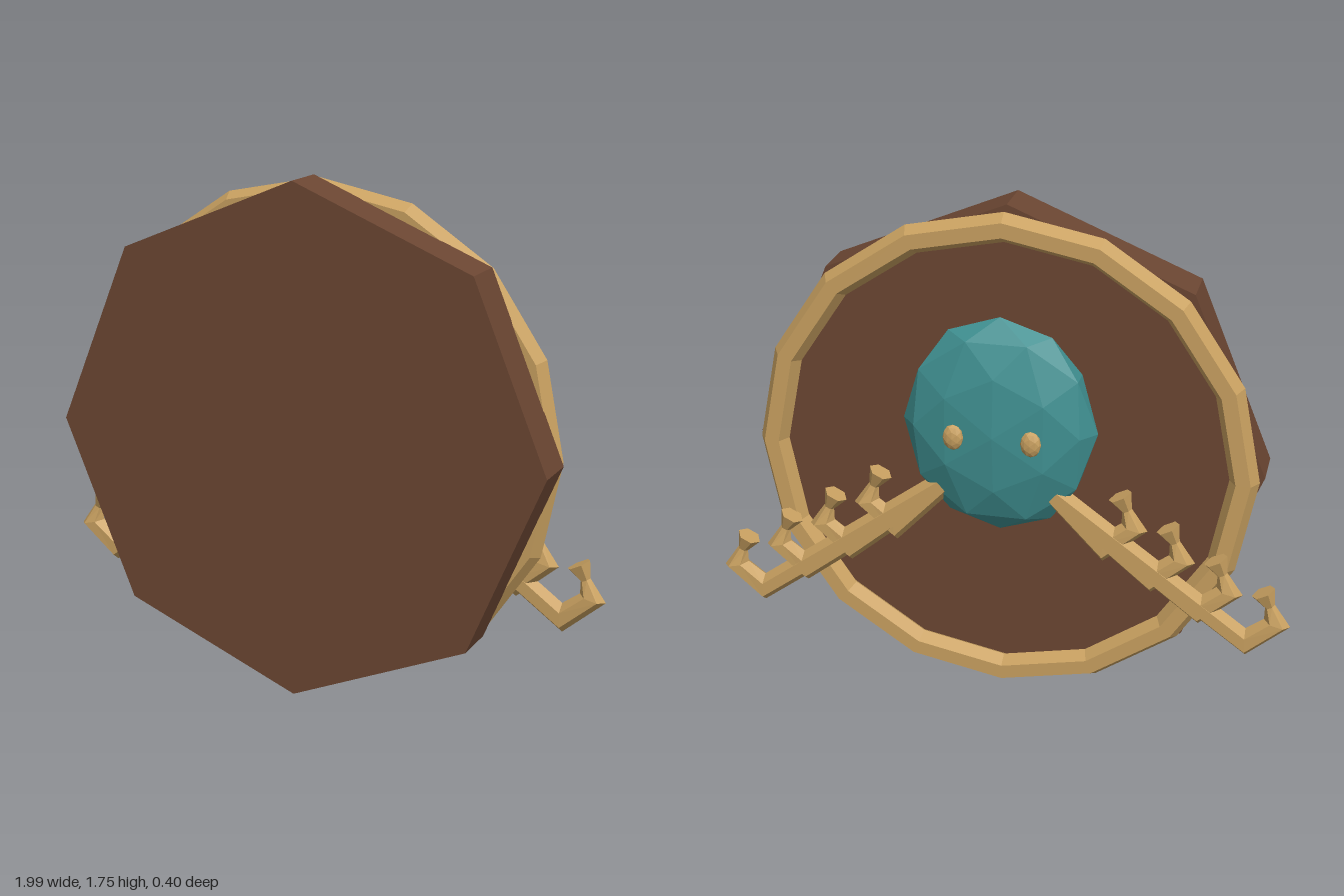
import * as THREE from 'three';

const mat = (color) => new THREE.MeshStandardMaterial({ color, flatShading: true });

// Faceted bar along a path in the xy plane; points are [x, y, radius]
function bentBar(points, z, sides = 6) {
  const pos = [], index = [];
  const dir = (a, b) => new THREE.Vector2(b[0] - a[0], b[1] - a[1]).normalize();
  const last = points.length - 1;
  points.forEach((p, i) => {
    const d0 = i > 0 ? dir(points[i - 1], p) : dir(p, points[1]);
    const d1 = i < last ? dir(p, points[i + 1]) : d0;
    const t = d0.clone().add(d1).normalize();
    const miter = 1 / t.dot(d0);
    for (let j = 0; j < sides; j++) {
      const a = (j / sides) * Math.PI * 2;
      const n = Math.cos(a) * p[2] * miter;
      pos.push(p[0] - t.y * n, p[1] + t.x * n, z + Math.sin(a) * p[2]);
    }
  });
  for (let i = 0; i < last; i++) {
    for (let j = 0; j < sides; j++) {
      const k = (j + 1) % sides;
      const a = i * sides + j, b = i * sides + k;
      index.push(a, b, b + sides, a, b + sides, a + sides);
    }
  }
  // end caps
  for (let j = 1; j < sides - 1; j++) {
    const e = last * sides;
    index.push(0, j + 1, j, e, e + j, e + j + 1);
  }
  const geo = new THREE.BufferGeometry();
  geo.setAttribute('position', new THREE.Float32BufferAttribute(pos, 3));
  geo.setIndex(index);
  geo.computeVertexNormals();
  return geo;
}

export function createModel() {
  const model = new THREE.Group();
  const wood = mat(0x6b4632), gold = mat(0xc8a060), teal = mat(0x3f8f90);
  const add = (name, geo, material, x, y, z, parent = model) => {
    const mesh = new THREE.Mesh(geo, material);
    mesh.name = name;
    mesh.position.set(x, y, z);
    parent.add(mesh);
    return mesh;
  };

  // Octagonal board and raised rim
  add('board', new THREE.CylinderGeometry(0.873, 0.873, 0.165, 8).rotateX(Math.PI / 2), wood, 0, 0.875, 0.118);
  add('rim', new THREE.TorusGeometry(0.81, 0.05, 6, 16), gold, 0, 0.875, -0.003);

  // Domed boss with two studs
  add('boss', new THREE.IcosahedronGeometry(1, 1).scale(0.33, 0.38, 0.12), teal, 0, 1.02, -0.06);
  for (const s of [1, -1]) {
    add('stud', new THREE.IcosahedronGeometry(1, 1).scale(0.035, 0.045, 0.02), gold, s * 0.13, 1.015, -0.18);
  }

  // Four hooked arms fanning out on each side
  for (const s of [1, -1]) {
    const arms = new THREE.Group();
    arms.name = s > 0 ? 'leftArms' : 'rightArms';
    model.add(arms);
    for (let i = 0; i < 4; i++) {
      const dx = -0.163 * i, dy = 0.1 * i;
      const path = [
        [0.19, 0.8, 0.04],
        [0.85 + dx, 0.322 + dy, 0.04],
        [0.952 + dx, 0.405 + dy, 0.036],
        [0.925 + dx, 0.465 + dy, 0.018],
        [0.9 + dx, 0.515 + dy, 0.042],
      ].map(([x, y, r]) => [s * x, y, r]);
      add('hookedArm', bentBar(path, -0.08), gold, 0, 0, 0, arms);
    }
  }
  return model;
}
